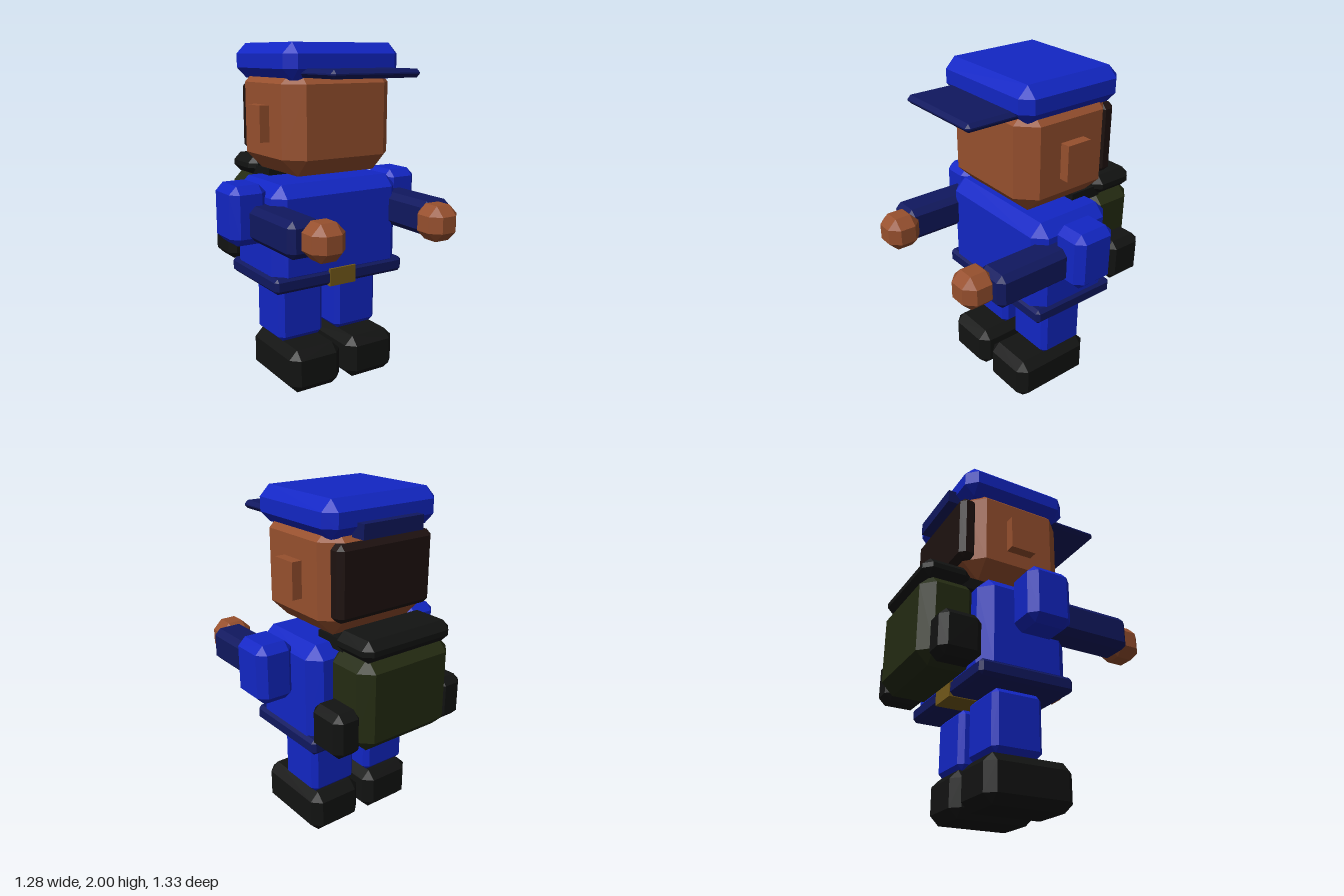
import * as THREE from 'three';
import { ConvexGeometry } from 'three/addons/geometries/ConvexGeometry.js';

const material = (color) => new THREE.MeshStandardMaterial({ color, flatShading: true });
const blue = material(0x1226c4);
const navy = material(0x10185f);
const skin = material(0x97502e);
const black = material(0x121312);
const brown = material(0x1e1210);
const olive = material(0x242b12);
const gold = material(0x73591a);

// Box between given limits with every edge cut at 45 degrees
function chamferBox([x0, x1], [y0, y1], [z0, z1], c) {
  if (!c) {
    return new THREE.BoxGeometry(x1 - x0, y1 - y0, z1 - z0)
      .translate((x0 + x1) / 2, (y0 + y1) / 2, (z0 + z1) / 2);
  }
  const points = [];
  for (const [x, sx] of [[x0, 1], [x1, -1]])
    for (const [y, sy] of [[y0, 1], [y1, -1]])
      for (const [z, sz] of [[z0, 1], [z1, -1]]) {
        points.push(new THREE.Vector3(x, y + sy * c, z + sz * c));
        points.push(new THREE.Vector3(x + sx * c, y, z + sz * c));
        points.push(new THREE.Vector3(x + sx * c, y + sy * c, z));
      }
  return new ConvexGeometry(points);
}

export function createModel() {
  const model = new THREE.Group();
  model.name = 'figure';

  const add = (name, mat, x, y, z, c = 0) => {
    const mesh = new THREE.Mesh(chamferBox(x, y, z, c), mat);
    mesh.name = name;
    model.add(mesh);
  };
  // Centred part, given by its half width
  const centre = (name, mat, w, y, z, c) => add(name, mat, [-w, w], y, z, c);
  // Mirrored pair, given by inner and outer x
  const pair = (name, mat, [a, b], y, z, c) => {
    add('left' + name, mat, [a, b], y, z, c);
    add('right' + name, mat, [-b, -a], y, z, c);
  };

  // Head
  centre('head', skin, 0.358, [1.27, 1.88], [-0.42, 0.21], 0.1);
  centre('hair', brown, 0.32, [1.37, 1.78], [-0.46, -0.355], 0.03);
  pair('Ear', skin, [0.3, 0.417], [1.455, 1.66], [-0.185, -0.03]);

  // Cap
  centre('capCrown', blue, 0.377, [1.8, 2.0], [-0.445, 0.225], 0.06);
  centre('capBrim', navy, 0.285, [1.815, 1.862], [0.1, 0.505], 0.02);
  centre('capStrap', navy, 0.2, [1.8, 1.88], [-0.495, -0.4]);

  // Body and belt
  centre('torso', blue, 0.43, [0.64, 1.23], [-0.375, 0.17], 0.07);
  centre('belt', navy, 0.445, [0.62, 0.712], [-0.39, 0.18], 0.02);
  centre('buckle', gold, 0.09, [0.615, 0.72], [-0.395, 0.185]);

  // Arms reaching forward
  pair('Shoulder', blue, [0.415, 0.64], [0.895, 1.235], [-0.2, 0.065], 0.045);
  pair('Forearm', navy, [0.34, 0.54], [0.92, 1.122], [-0.07, 0.51], 0.035);
  pair('Hand', skin, [0.275, 0.477], [0.92, 1.124], [0.46, 0.665], 0.055);

  // Legs and boots
  pair('Leg', blue, [0.043, 0.347], [0.265, 0.615], [-0.258, 0.045], 0.03);
  pair('Boot', black, [0.023, 0.367], [0, 0.265], [-0.3, 0.23], 0.052);

  // Backpack
  centre('backpack', olive, 0.318, [0.69, 1.225], [-0.665, -0.33], 0.07);
  centre('backpackFlap', black, 0.305, [1.205, 1.325], [-0.66, -0.372], 0.045);
  centre('backpackStrap', black, 0.27, [1.2, 1.268], [-0.42, -0.21]);
  pair('Pouch', black, [0.28, 0.457], [0.69, 0.95], [-0.618, -0.375], 0.04);

  return model;
}
